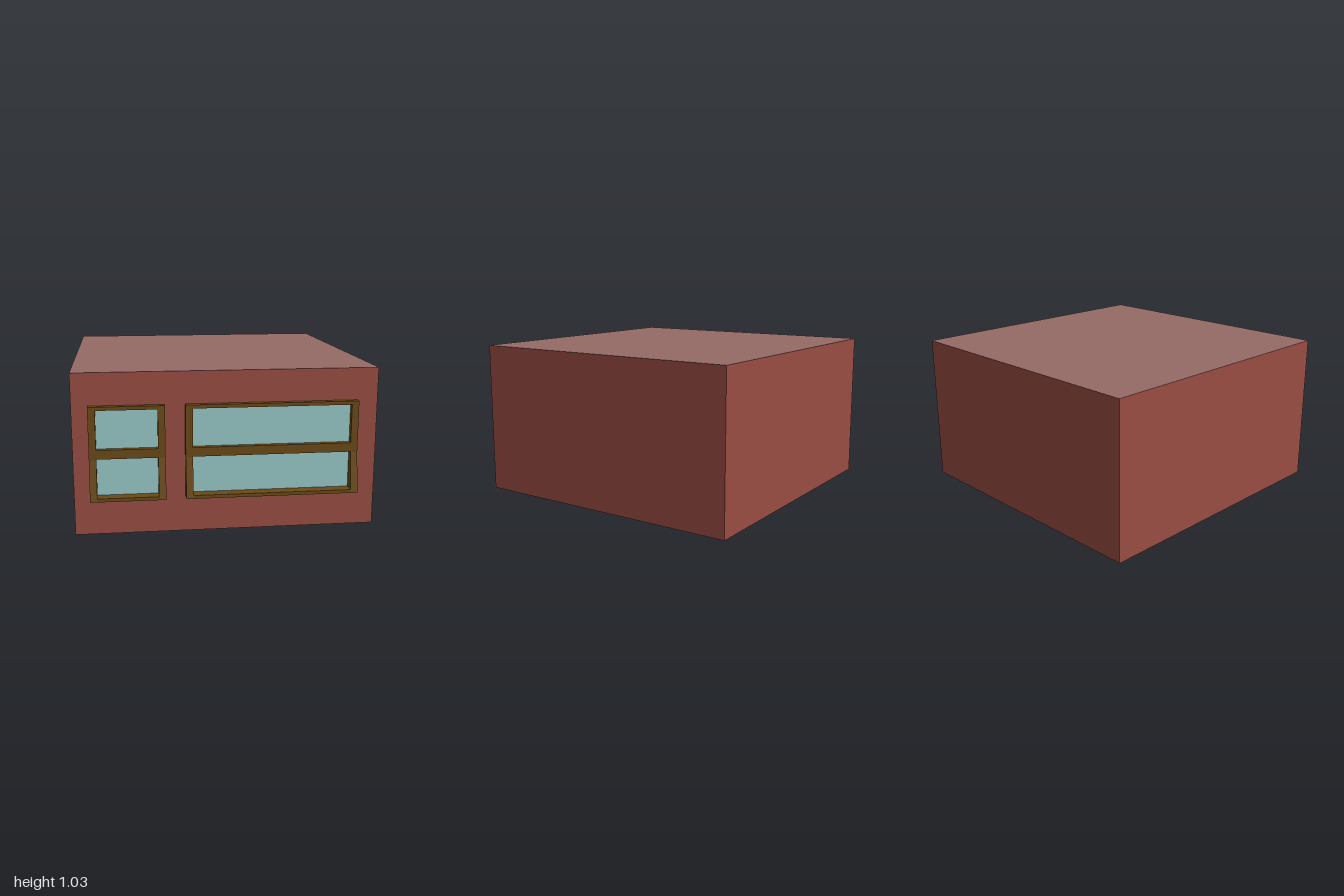
import * as THREE from 'three';

const paint = (color) => new THREE.MeshStandardMaterial({ color });
const brick = paint(0x994c42);
const roofing = paint(0x966b66);
const concrete = paint(0x444444);
const wood = paint(0x6b4a17);
const pane = paint(0x97c8c8);

const WIDTH = 1.92, HEIGHT = 1.03, WALL_Z = 0.92, CENTRE_Z = -0.04;

function add(parent, name, geometry, material, x, y, z) {
  const mesh = new THREE.Mesh(geometry, material);
  mesh.name = name;
  mesh.position.set(x, y, z);
  parent.add(mesh);
  return mesh;
}

// Closed square block with a roof and floor of their own colours
function createBuilding() {
  const building = new THREE.Group();
  building.name = 'building';
  ['frontWall', 'leftWall', 'backWall', 'rightWall'].forEach((name, i) => {
    const a = i * Math.PI / 2, r = WIDTH / 2;
    add(building, name, new THREE.PlaneGeometry(WIDTH, HEIGHT), brick,
      Math.sin(a) * r, HEIGHT / 2, CENTRE_Z + Math.cos(a) * r).rotation.y = a;
  });
  const slab = new THREE.PlaneGeometry(WIDTH, WIDTH);
  add(building, 'roof', slab, roofing, 0, HEIGHT, CENTRE_Z).rotation.x = -Math.PI / 2;
  add(building, 'floor', slab, concrete, 0, 0, CENTRE_Z).rotation.x = Math.PI / 2;
  return building;
}

// Window whose side posts flare forward below the middle rail
function createWindow(name, x0, x1) {
  const win = new THREE.Group();
  win.name = name;
  const post = 0.045, bottom = 0.235, top = 0.825;
  const width = x1 - x0 - 2 * post, cx = (x0 + x1) / 2;

  // Side profile: depth from the wall across, height up
  const profile = new THREE.Shape([
    [0, bottom], [0.08, bottom], [0.04, 0.495], [0.04, top], [0, top],
  ].map(([d, y]) => new THREE.Vector2(d, y)));
  const postGeometry = new THREE.ExtrudeGeometry(profile, { depth: post, bevelEnabled: false });
  for (const [side, x] of [['rightPost', x0 + post], ['leftPost', x1]]) {
    add(win, side, postGeometry, wood, x, 0, WALL_Z).rotation.y = -Math.PI / 2;
  }

  // Rails: name, lower edge, upper edge, depth
  for (const [rail, y0, y1, depth] of [
    ['sill', bottom, 0.257, 0.08], ['middleRail', 0.497, 0.555, 0.04], ['topRail', 0.802, top, 0.04],
  ]) {
    add(win, rail, new THREE.BoxGeometry(width, y1 - y0, depth), wood,
      cx, (y0 + y1) / 2, WALL_Z + depth / 2);
  }

  // Panes, set just proud of the wall
  for (const [glass, y0, y1] of [['lowerPane', 0.257, 0.497], ['upperPane', 0.555, 0.802]]) {
    add(win, glass, new THREE.PlaneGeometry(width, y1 - y0), pane, cx, (y0 + y1) / 2, WALL_Z + 0.004);
  }
  return win;
}

export function createModel() {
  const model = new THREE.Group();
  model.name = 'buildingBlock';
  model.add(
    createBuilding(),
    createWindow('smallWindow', -0.86, -0.39),
    createWindow('wideWindow', -0.265, 0.83),
  );
  return model;
}
